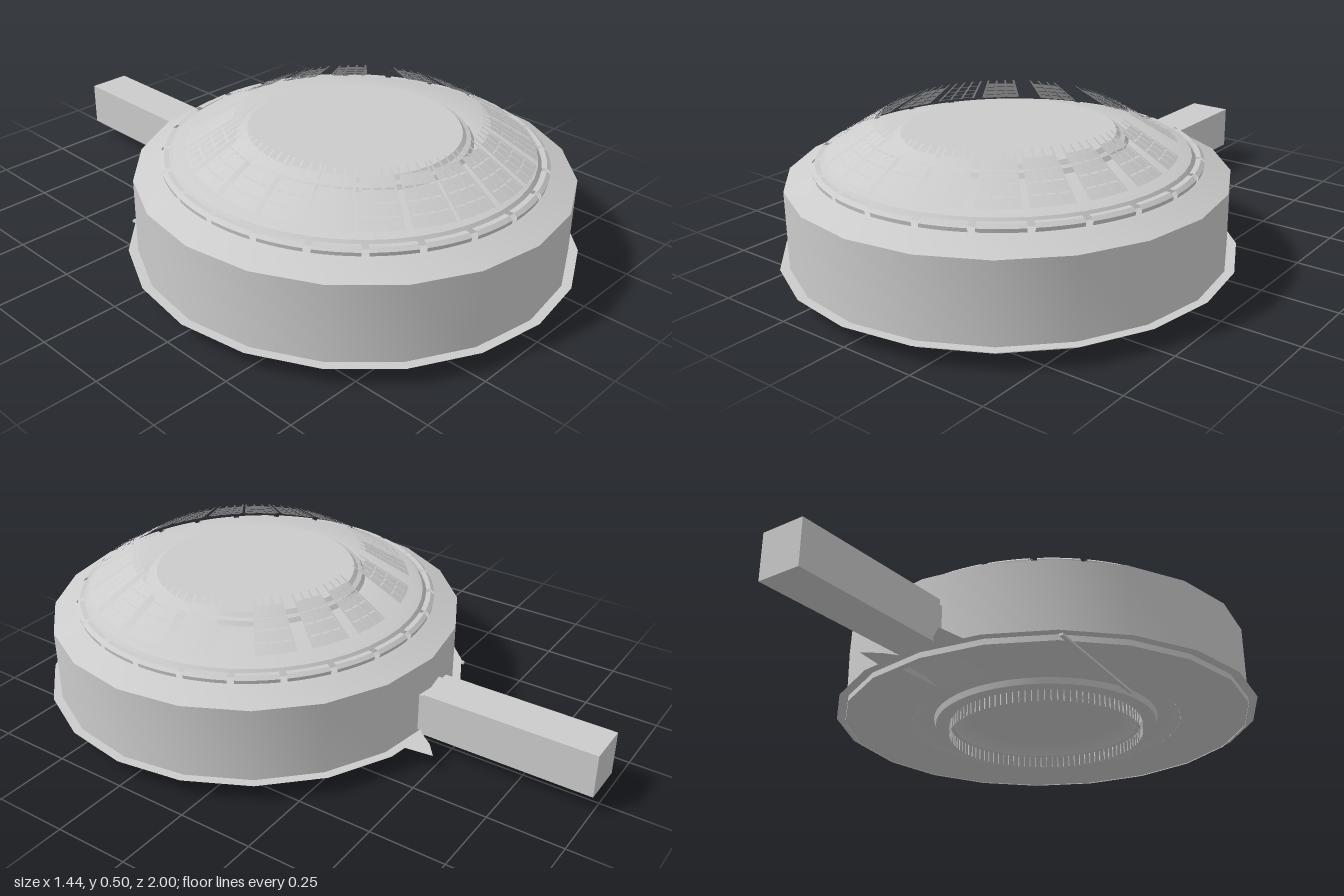
import * as THREE from 'three';
import { mergeGeometries, toCreasedNormals } from 'three/addons/utils/BufferGeometryUtils.js';

const mat = new THREE.MeshStandardMaterial({ color: 0xcccccc, side: THREE.DoubleSide });
const rad = THREE.MathUtils.degToRad;
const TAU = Math.PI * 2;

// Revolved profile of [radius, height] pairs; optional start angle and sweep
function lathe(profile, segments, start = 0, sweep = TAU) {
  return new THREE.LatheGeometry(profile.map(p => new THREE.Vector2(...p)), segments, start, sweep);
}

export function createModel() {
  const model = new THREE.Group();
  const disc = new THREE.Group();
  disc.name = 'roundBuilding';
  disc.position.z = 0.28;
  model.add(disc);
  const add = (name, geo, parent = disc) => {
    const mesh = new THREE.Mesh(geo, mat);
    mesh.name = name;
    parent.add(mesh);
    return mesh;
  };

  // Drum wall and sloping outer roof
  add('drumAndRoof', toCreasedNormals(lathe([[0.69, 0.043], [0.69, 0.31], [0.6, 0.347]], 20), rad(25)));
  // Inner roof, a shallow trough and the raised flat top
  add('innerRoof', toCreasedNormals(lathe(
    [[0.61, 0.343], [0.58, 0.355], [0.565, 0.376], [0.54, 0.384], [0.46, 0.4],
      [0.39, 0.412], [0.37, 0.412], [0.36, 0.425], [0.345, 0.43], [0.333, 0.442], [0, 0.442]], 48), rad(25)));
  // Thin brim around the foot
  add('brim', lathe([[0.68, 0.062], [0.72, 0.062]], 20));

  // Broken ring of low blocks on the roof
  const blocks = [];
  for (let i = 0; i < 24; i++) {
    blocks.push(lathe([[0.578, 0.352], [0.602, 0.348], [0.604, 0.36], [0.592, 0.37], [0.576, 0.37]],
      4, rad(i * 15 + 1), rad(13)).toNonIndexed());
  }
  add('roofBlocks', toCreasedNormals(mergeGeometries(blocks), rad(25)));

  // Gridded panels leaning inward over the trough; t runs from outer to upper edge
  const at = (t, lift) => [0.54 - 0.17 * t, 0.394 + 0.106 * t + lift];
  const strip = (t0, t1, start, sweep, lift) =>
    lathe([at(t0, lift), at(t1, lift)], 2, start, sweep);
  const tiles = [], ribs = [], bars = [];
  const panelAngles = [7, 25, 44, 72, 90, 108, 126, 142, 159, 175, 191, 206, 222, 237, 252, 268, 285, 302, 319, 341];
  for (const angle of panelAngles) {
    const width = rad(13), start = rad(180 - angle) - width / 2, col = width / 3;
    const open = angle === 302;
    for (let c = 0; c <= 3; c++) ribs.push(strip(0, 1, start + c * col - 0.008, 0.016, 0.003));
    for (let r = 0; r < 4; r++) {
      bars.push(strip(r * 0.22, r * 0.22 + 0.03, start, width, 0.005));
      if (open) continue;
      for (let c = 0; c < 3; c++) {
        tiles.push(strip(r * 0.22 + 0.02, r * 0.22 + 0.21, start + c * col + 0.006, col - 0.012, 0));
      }
    }
  }
  const panels = new THREE.Group();
  panels.name = 'roofPanels';
  panels.position.z = 0.025;
  disc.add(panels);
  add('panelTiles', mergeGeometries(tiles), panels);
  add('panelRibs', mergeGeometries(ribs), panels);
  add('panelBars', mergeGeometries(bars), panels);

  // Floor plate with a round opening and an entry slot at the back
  const plate = new THREE.Shape();
  for (let i = 0; i < 20; i++) {
    const a = i / 20 * TAU, x = 0.69 * Math.sin(a), y = 0.69 * Math.cos(a);
    if (i) plate.lineTo(x, y); else plate.moveTo(x, y);
  }
  plate.closePath();
  plate.holes.push(new THREE.Path().absarc(0, 0, 0.46, 0, TAU, true));
  plate.holes.push(new THREE.Path([[-0.1, 0.48], [-0.1, 0.65], [0.1, 0.65], [0.1, 0.48]]
    .map(p => new THREE.Vector2(...p))));
  const floor = add('floorPlate', new THREE.ShapeGeometry(plate, 32));
  floor.rotation.x = -Math.PI / 2;
  floor.position.y = 0.046;

  // Ramp rising into the drum above the slot
  const ramp = add('entryRamp', new THREE.BoxGeometry(0.2, 0.01, 0.2));
  ramp.position.set(0, 0.078, -0.565);
  ramp.rotation.x = 0.3;

  // Narrow rail under the floor on the right
  const rail = add('floorRail', new THREE.BoxGeometry(0.012, 0.008, 0.5));
  rail.position.set(-0.41, 0.042, -0.34);
  rail.rotation.y = 0.1;

  // Sunken ring, lip and dished centre of the underside
  add('underside', toCreasedNormals(lathe([[0.46, 0.046], [0.42, 0.062], [0.385, 0.058], [0.378, 0.039],
    [0.315, 0.039], [0.3, 0.052], [0.26, 0.066], [0.22, 0.068], [0, 0.068]], 48), rad(30)));

  // Circle of short pins reaching the ground
  const pins = [];
  for (let i = 0; i < 100; i++) {
    pins.push(new THREE.BoxGeometry(0.003, 0.042, 0.003)
      .translate(0, 0.021, 0.33).rotateY(i / 100 * TAU));
  }
  add('pins', mergeGeometries(pins));

  // Square tunnel and its collar at the back
  add('tunnel', new THREE.BoxGeometry(0.146, 0.148, 0.58), model).position.set(-0.007, 0.138, -0.71);
  add('tunnelCollar', new THREE.BoxGeometry(0.13, 0.13, 0.07), model).position.set(-0.007, 0.136, -0.395);

  // Flat fins beside the tunnel at brim height
  for (const side of [-1, 1]) {
    const fin = new THREE.Shape([[0.07, 0.4], [0.07, 0.43], [0.1, 0.47], [0.15, 0.51], [0.165, 0.39]]
      .map(([x, y]) => new THREE.Vector2(side * x, y)));
    const mesh = add(side > 0 ? 'leftFin' : 'rightFin', new THREE.ShapeGeometry(fin), model);
    mesh.rotation.x = -Math.PI / 2;
    mesh.position.y = 0.064;
  }
  return model;
}
